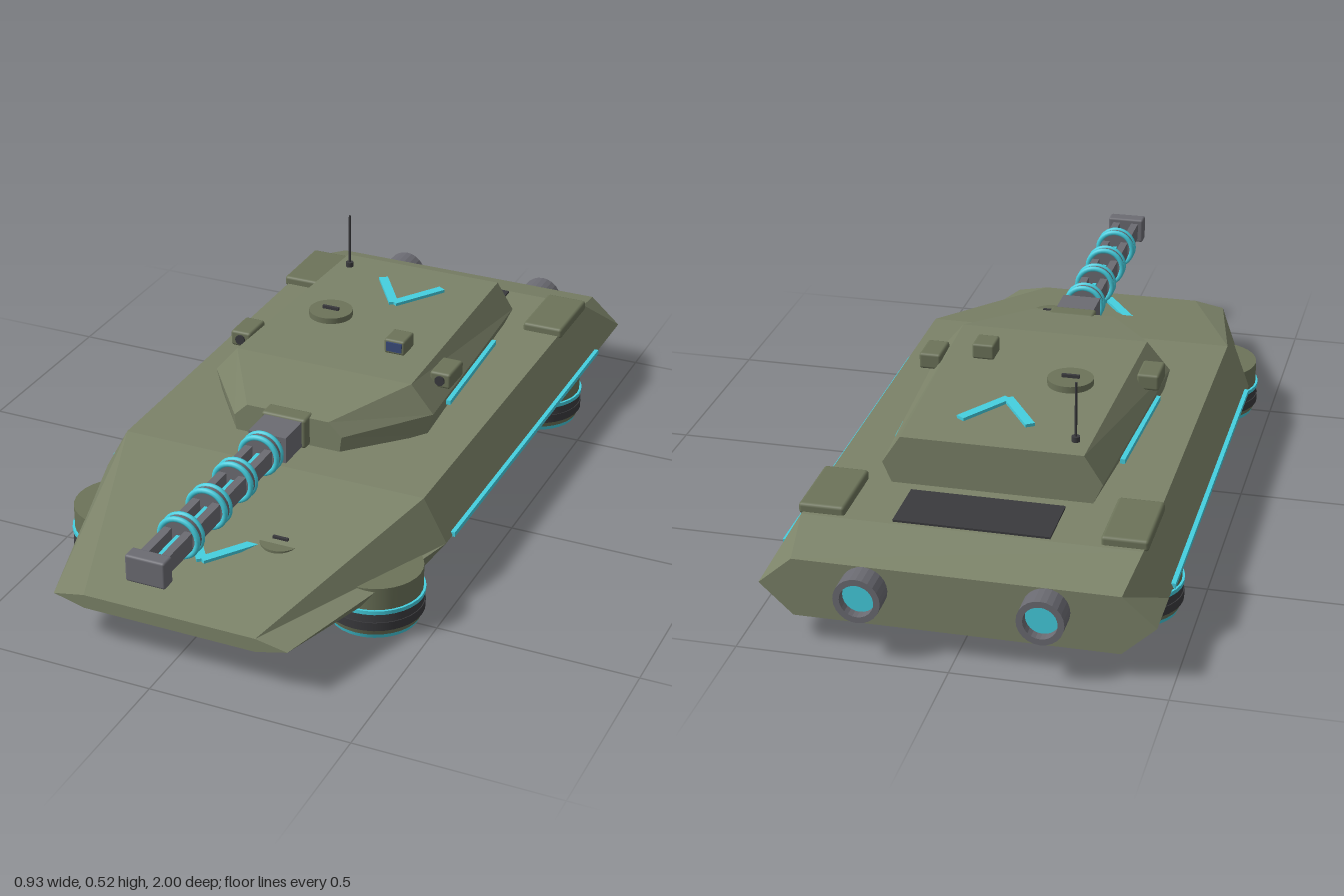
import * as THREE from 'three';
import { RoundedBoxGeometry } from 'three/addons/geometries/RoundedBoxGeometry.js';

const mat = (color, flatShading = false) => {
  const m = new THREE.MeshStandardMaterial({ flatShading });
  m.color.set(color);
  return m;
};
const armour = mat(0x7b8268, true), trim = mat(0x6c7359), dark = mat(0x3a3a3d);
const steel = mat(0x6b6b72), glow = mat(0x45cfe0), lens = mat(0x3a4a78);

// Faceted hexagonal body; each row is z, top y, top w, mid y, mid w, bottom y, bottom w
function hexLoft(rows) {
  const rings = rows.map(([z, ty, tw, my, mw, by, bw]) =>
    [[tw, ty, z], [-tw, ty, z], [-mw, my, z], [-bw, by, z], [bw, by, z], [mw, my, z]]);
  const pos = [];
  const tri = (...p) => p.forEach((v) => pos.push(...v));
  for (let s = 0; s < rings.length - 1; s++) {
    for (let i = 0; i < 6; i++) {
      const j = (i + 1) % 6;
      const a = rings[s][i], b = rings[s][j], c = rings[s + 1][j], d = rings[s + 1][i];
      tri(a, b, c);
      tri(a, c, d);
    }
  }
  const back = rings[0], front = rings[rings.length - 1];
  for (let i = 1; i < 5; i++) {
    tri(back[0], back[i + 1], back[i]);
    tri(front[0], front[i], front[i + 1]);
  }
  const g = new THREE.BufferGeometry();
  g.setAttribute('position', new THREE.Float32BufferAttribute(pos, 3));
  g.computeVertexNormals();
  return g;
}

export function createModel() {
  const model = new THREE.Group();
  model.name = 'hoverTank';

  const add = (name, geo, material, x = 0, y = 0, z = 0, parent = model) => {
    const m = new THREE.Mesh(geo, material);
    m.name = name;
    m.position.set(x, y, z);
    parent.add(m);
    return m;
  };
  const box = (name, w, h, d, material, x, y, z, parent) =>
    add(name, new THREE.BoxGeometry(w, h, d), material, x, y, z, parent);
  const soft = (name, w, h, d, r, material, x, y, z, parent) =>
    add(name, new RoundedBoxGeometry(w, h, d, 2, r), material, x, y, z, parent);
  const disc = (name, r, h, material, x, y, z, parent, r2 = r) =>
    add(name, new THREE.CylinderGeometry(r, r2, h, 32), material, x, y, z, parent);
  const group = (name, x, y, z) => {
    const g = new THREE.Group();
    g.name = name;
    g.position.set(x, y, z);
    model.add(g);
    return g;
  };

  // Flat V marking made of two bars meeting at the tip
  const chevron = (name, x, y, z, halfW, len) => {
    const g = group(name, x, y, z);
    for (const s of [-1, 1]) {
      const bar = box('chevronBar', 0.024, 0.008, Math.hypot(halfW, len), glow, s * halfW / 2, 0, -len / 2, g);
      bar.rotation.y = Math.atan2(-s * halfW, len);
    }
  };

  // Hull
  add('hull', hexLoft([
    [-0.94, 0.21, 0.38, 0.14, 0.46, 0.065, 0.38],
    [-0.80, 0.25, 0.40, 0.14, 0.46, 0.055, 0.40],
    [0.35, 0.25, 0.40, 0.14, 0.46, 0.055, 0.40],
    [0.90, 0.135, 0.22, 0.12, 0.30, 0.10, 0.22],
  ]), armour);
  box('bellyPlate', 0.74, 0.05, 1.34, armour, 0, 0.052, -0.08);
  box('engineGrille', 0.37, 0.01, 0.155, dark, 0, 0.25, -0.713);

  // Mirrored hull fittings
  for (const s of [-1, 1]) {
    box('hullStripe', 0.012, 0.012, 1.06, glow, s * 0.46, 0.143, -0.22);
    soft('rearPod', 0.11, 0.028, 0.2, 0.008, trim, s * 0.355, 0.257, -0.69);

    // Exhaust: open tube with a glowing core
    const ex = group('exhaust', s * 0.21, 0.155, -0.96);
    const wall = [[0.04, -0.03], [0.055, -0.03], [0.055, 0.04], [0.04, 0.04], [0.04, -0.03]];
    const tube = add('exhaustTube',
      new THREE.LatheGeometry(wall.map((p) => new THREE.Vector2(...p)), 24),
      new THREE.MeshStandardMaterial({ side: THREE.DoubleSide, flatShading: true }), 0, 0, 0, ex);
    tube.material.color.set(0x6b6b72);
    tube.rotation.x = -Math.PI / 2;
    tube.position.z = 0.0;
    tube.scale.y = 1;
    tube.rotation.x = Math.PI / 2;
    disc('exhaustCore', 0.041, 0.04, glow, 0, 0, 0.005, ex).rotation.x = Math.PI / 2;
    tube.position.z = -0.01;

    // Hover pads, stacked from the ground up
    for (const z of [0.5, -0.61]) {
      const pad = group('hoverPad', s * 0.34, 0, z);
      disc('padGlow', 0.113, 0.014, glow, 0, 0.007, 0, pad, 0.108);
      disc('padRim', 0.118, 0.016, trim, 0, 0.02, 0, pad, 0.113);
      disc('padSkirt', 0.121, 0.022, dark, 0, 0.038, 0, pad);
      disc('padNeck', 0.115, 0.025, dark, 0, 0.06, 0, pad, 0.119);
      disc('padRing', 0.122, 0.01, glow, 0, 0.077, 0, pad);
      disc('padHousing', 0.116, 0.07, trim, 0, 0.105, 0, pad);
    }
  }

  // Driver hatch and bow marking
  disc('driverHatch', 0.05, 0.014, trim, 0.135, 0.19, 0.585);
  box('driverHatchHandle', 0.04, 0.008, 0.008, dark, 0.135, 0.202, 0.585);
  chevron('bowChevron', 0, 0.19, 0.73, 0.09, 0.13);

  // Turret
  add('turret', hexLoft([
    [-0.60, 0.37, 0.22, 0.30, 0.265, 0.245, 0.24],
    [0.05, 0.377, 0.24, 0.305, 0.30, 0.245, 0.285],
    [0.26, 0.345, 0.11, 0.31, 0.145, 0.27, 0.14],
  ]), armour);
  chevron('turretChevron', 0.02, 0.377, -0.355, 0.085, 0.13);
  disc('commanderHatch', 0.057, 0.02, trim, -0.105, 0.38, -0.23);
  box('commanderHatchHandle', 0.045, 0.008, 0.008, dark, -0.105, 0.394, -0.23);
  soft('roofSight', 0.056, 0.04, 0.065, 0.006, trim, 0.137, 0.396, -0.115);
  box('roofSightLens', 0.042, 0.025, 0.006, lens, 0.137, 0.397, -0.082);
  disc('antennaBase', 0.01, 0.014, dark, -0.185, 0.377, -0.53);
  disc('antenna', 0.003, 0.15, dark, -0.185, 0.446, -0.53);

  for (const s of [-1, 1]) {
    const stripe = box('turretStripe', 0.012, 0.012, 0.365, glow, s * 0.285, 0.28, -0.25);
    stripe.rotation.y = s * 0.045;
    soft('sideSensor', 0.056, 0.042, 0.09, 0.007, trim, s * 0.278, 0.35, -0.09);
    disc('sideSensorLens', 0.013, 0.008, dark, s * 0.278, 0.35, -0.044).rotation.x = Math.PI / 2;
  }

  // Rail gun, axis along z
  const gun = group('railGun', 0, 0.31, 0);
  soft('mantlet', 0.12, 0.08, 0.05, 0.008, trim, 0, 0, 0.26, gun);
  box('breech', 0.1, 0.068, 0.11, steel, 0, 0, 0.32, gun);
  for (const s of [-1, 1]) box('rail', 0.02, 0.044, 0.62, steel, s * 0.026, 0, 0.66, gun);
  box('railCore', 0.01, 0.014, 0.58, glow, 0, 0, 0.65, gun);
  for (const z of [0.41, 0.55, 0.685, 0.825]) {
    disc('coil', 0.05, 0.026, steel, 0, 0, z, gun).rotation.x = Math.PI / 2;
    for (const dz of [-0.012, 0.012])
      add('coilRing', new THREE.TorusGeometry(0.048, 0.007, 8, 32), glow, 0, 0, z + dz, gun);
  }
  soft('muzzle', 0.1, 0.068, 0.04, 0.006, steel, 0, 0, 0.98, gun);

  return model;
}
